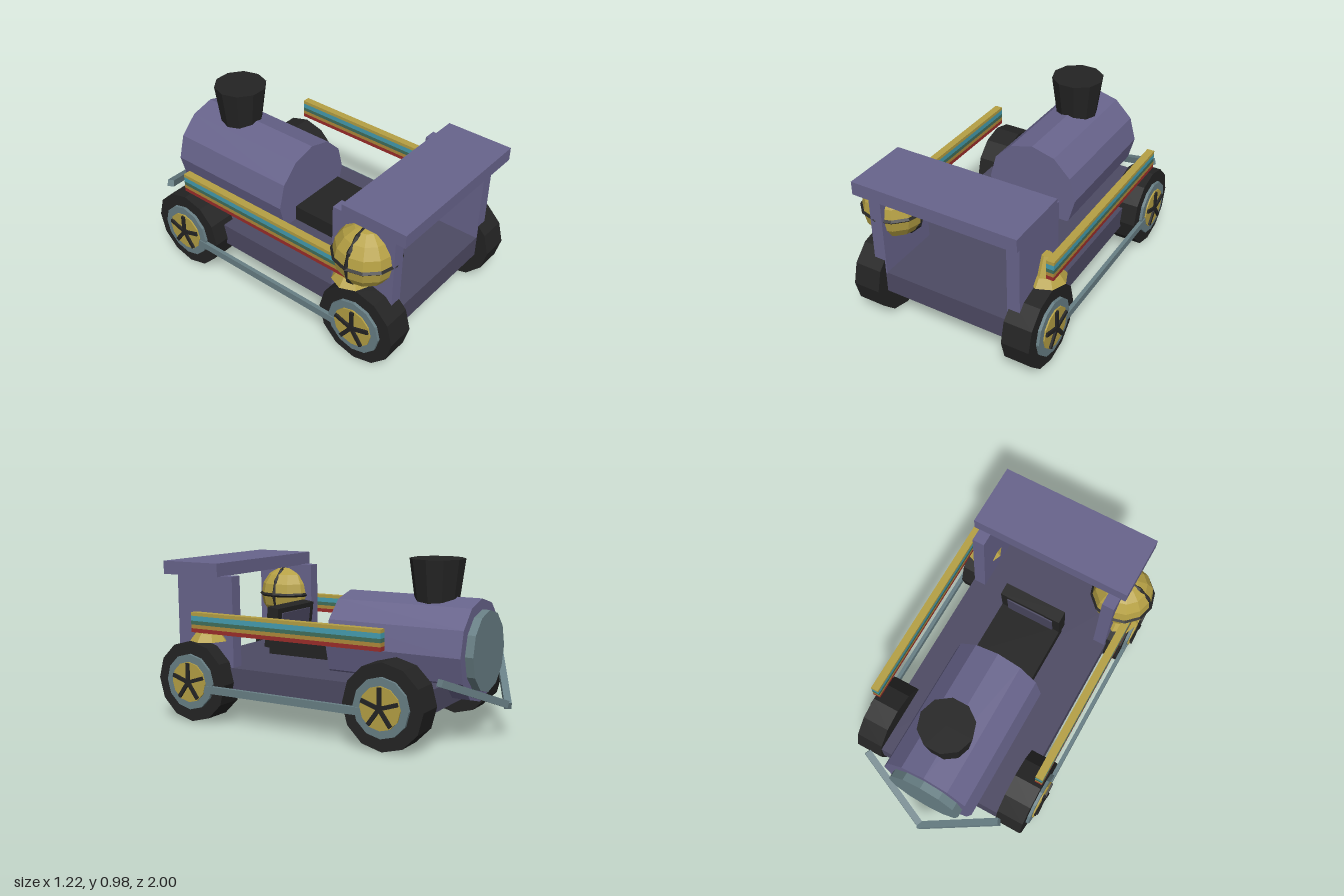
import * as THREE from 'three';

const mat = (name, color) => {
  const m = new THREE.MeshStandardMaterial({ color });
  m.name = name;
  m.flatShading = true;
  return m;
};

export function createModel() {
  const purple = mat('purple paint', 0x68648c);
  const slate = mat('dark purple', 0x4d4a63);
  const black = mat('black', 0x242424);
  const steel = mat('steel', 0x687f85);
  const gold = mat('gold', 0xb5a044);
  const cyan = mat('cyan', 0x459eb2);
  const green = mat('green', 0x416f5c);
  const amber = mat('amber', 0xb08a3a);
  const red = mat('red', 0x9c2d2a);

  const model = new THREE.Group();
  model.name = 'steamCar';
  const body = new THREE.Group();
  body.name = 'body';
  body.position.x = 0.018; // midline of the car
  model.add(body);

  const add = (name, geo, material, parent = body) => {
    const mesh = new THREE.Mesh(geo, material);
    mesh.name = name;
    parent.add(mesh);
    return mesh;
  };
  // box given by its lower and upper limits
  const box = (name, x0, x1, y0, y1, z0, z1, material, parent) => {
    const mesh = add(name, new THREE.BoxGeometry(x1 - x0, y1 - y0, z1 - z0), material, parent);
    mesh.position.set((x0 + x1) / 2, (y0 + y1) / 2, (z0 + z1) / 2);
    return mesh;
  };
  // box on the given side of the midline
  const sideBox = (name, s, a, b, y0, y1, z0, z1, material) =>
    box(name, Math.min(s * a, s * b), Math.max(s * a, s * b), y0, y1, z0, z1, material);

  // chassis and roof
  box('chassis', -0.465, 0.465, 0.2, 0.33, -0.72, 0.917, slate);
  box('roof', -0.493, 0.493, 0.857, 0.935, 0.6, 0.995, purple);

  // boiler with front plate and chimney
  const boiler = add('boiler', new THREE.CylinderGeometry(0.288, 0.288, 0.825, 12).rotateX(Math.PI / 2), purple);
  boiler.position.set(0, 0.484, -0.4125);
  const plate = add('boilerPlate', new THREE.CylinderGeometry(0.228, 0.228, 0.06, 12).rotateX(Math.PI / 2), steel);
  plate.position.set(0, 0.484, -0.842);
  const chimney = add('chimney', new THREE.CylinderGeometry(0.158, 0.12, 0.28, 10).rotateY(Math.PI / 2), black);
  chimney.position.set(0, 0.84, -0.556);

  // seat with a tilted backrest and its pad
  box('seatCushion', -0.195, 0.195, 0.378, 0.47, 0.04, 0.45, black);
  const back = new THREE.Group();
  back.name = 'backrest';
  back.position.set(0, 0.537, 0.435);
  back.rotation.x = -0.12;
  body.add(back);
  box('backrestFrame', -0.195, 0.195, -0.125, 0.12, -0.038, 0.038, black, back);
  box('backrestPad', -0.15, 0.15, -0.08, 0.09, -0.046, -0.037, slate, back);

  const stripes = [[0.537, 0.56, red], [0.56, 0.582, amber], [0.582, 0.604, green],
    [0.604, 0.633, cyan], [0.633, 0.653, gold]];

  for (const s of [1, -1]) {
    const side = s > 0 ? 'left' : 'right';
    sideBox(side + 'Post', s, 0.385, 0.46, 0.32, 0.86, 0.52, 0.917, purple);

    // wheels, hubs and spokes
    for (const [end, z] of [['Front', -0.505], ['Rear', 0.757]]) {
      const wheel = new THREE.Group();
      wheel.name = side + end + 'Wheel';
      wheel.position.set(0, 0.243, z);
      body.add(wheel);
      const disc = (name, r, a, b, m, n) => {
        add(name, new THREE.CylinderGeometry(r, r, b - a, n).rotateZ(Math.PI / 2), m, wheel)
          .position.x = s * (a + b) / 2;
      };
      disc('tyre', 0.24, 0.393, 0.557, black, 12);
      disc('rim', 0.165, 0.54, 0.574, steel, 12);
      disc('hub', 0.12, 0.565, 0.582, gold, 12);
      for (let i = 0; i < 5; i++) {
        const spoke = add('spoke', new THREE.BoxGeometry(0.016, 0.113, 0.022).translate(0, 0.0565, 0), black, wheel);
        spoke.position.x = s * 0.586;
        spoke.rotation.x = i * Math.PI * 2 / 5;
      }
    }
    sideBox(side + 'CouplingRod', s, 0.557, 0.58, 0.19, 0.233, -0.41, 0.66, steel);

    // striped side rail
    for (const [y0, y1, m] of stripes) {
      sideBox(side + 'RailStripe', s, 0.512, 0.557, y0, y1, -0.495, 0.745, m);
    }

    // stepped stand above the rear wheel
    const foot = add(side + 'StandFoot', new THREE.CylinderGeometry(0.08, 0.115, 0.045, 8), gold);
    foot.position.set(s * 0.477, 0.508, 0.675);
    const neck = add(side + 'StandNeck', new THREE.CylinderGeometry(0.03, 0.075, 0.11, 8), gold);
    neck.position.set(s * 0.477, 0.581, 0.675);

    // front guard bar, from the outer end to the nose
    const a = new THREE.Vector3(s * 0.44, 0.388, -0.775);
    const b = new THREE.Vector3(0, 0.195, -0.98);
    const bar = add(side + 'GuardBar', new THREE.BoxGeometry(0.04, 0.04, a.distanceTo(b)), steel);
    bar.position.copy(a).add(b).multiplyScalar(0.5);
    bar.lookAt(b.x, b.y, b.z);
  }

  // banded globe beside the right post
  const globe = new THREE.Group();
  globe.name = 'globe';
  globe.position.set(-0.438, 0.662, 0.73);
  body.add(globe);
  add('globeBall', new THREE.SphereGeometry(0.182, 12, 8), gold, globe);
  add('globeUprightBand', new THREE.TorusGeometry(0.18, 0.012, 4, 12), black, globe);
  add('globeLevelBand', new THREE.TorusGeometry(0.18, 0.012, 4, 12).rotateX(Math.PI / 2), black, globe);

  return model;
}
